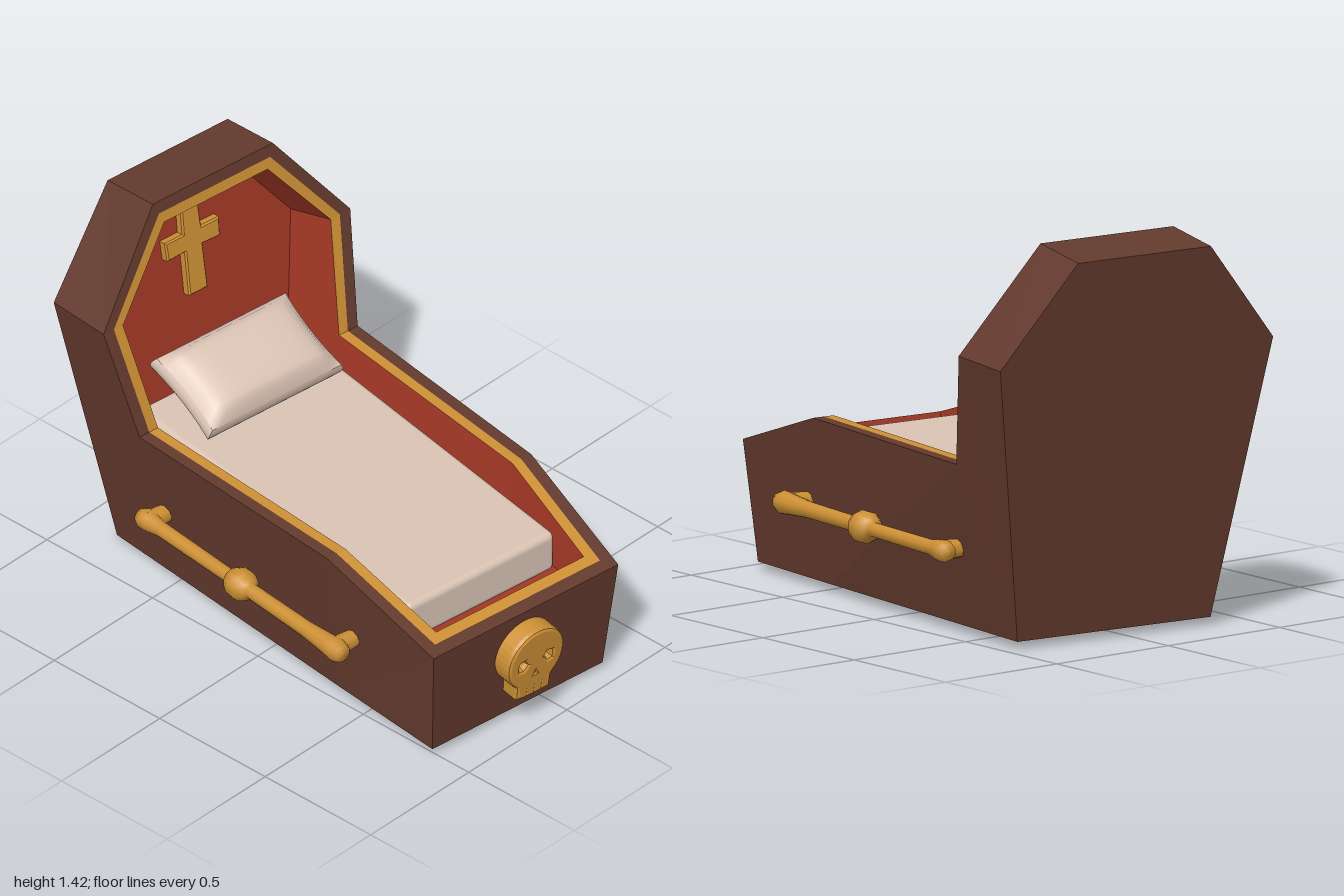
import * as THREE from 'three';
import { RoundedBoxGeometry } from 'three/addons/geometries/RoundedBoxGeometry.js';

const mat = (name, color) => Object.assign(new THREE.MeshStandardMaterial({ color }), { name });

export function createModel() {
  const wood = mat('brown wood', 0x643a2e);
  const gold = mat('gold', 0xcd9035);
  const lining = mat('red lining', 0xa23725);
  const linen = mat('cream linen', 0xdac3b4);

  const root = new THREE.Group();
  root.name = 'coffinBed';
  const bed = new THREE.Group();
  bed.name = 'bed';
  bed.rotation.y = -0.11;
  bed.position.x = -0.03;
  root.add(bed);

  const add = (name, geometry, material, parent = bed) => {
    const mesh = new THREE.Mesh(geometry, material);
    mesh.name = name;
    parent.add(mesh);
    return mesh;
  };

  // Closed ten-point loop from its right half (front corner up to the crown)
  const mirrorLoop = (half) => [...half, ...half.map(([x, y, z]) => [-x, y, z]).reverse()];
  const faceted = (polygons) => {
    const pos = [];
    for (const p of polygons)
      for (let i = 1; i < p.length - 1; i++) pos.push(...p[0], ...p[i], ...p[i + 1]);
    const g = new THREE.BufferGeometry();
    g.setAttribute('position', new THREE.Float32BufferAttribute(pos, 3));
    g.computeVertexNormals();
    return g;
  };
  const band = (a, b) => a.map((p, i) => {
    const j = (i + 1) % a.length;
    return [p, a[j], b[j], b[i]];
  });
  const FLOOR = [0, 1, 2, 7, 8, 9], BACK = [2, 3, 4, 5, 6, 7];
  const cap = (loop, ids) => ids.map((i) => loop[i]);

  // Rim points: front corner, bend, headboard foot, shoulder, crown
  const rim = [
    [0.423, 0.46, 0.935], [0.468, 0.627, 0.42], [0.5, 0.63, -0.54],
    [0.565, 1.04, -0.655], [0.275, 1.42, -0.73],
  ];
  const inward = [[-1, 0.32, -1], [-1, 0, 0], [-1, 0, 0], [-1.05, -0.05, 0], [-0.45, -1, 0.2]];
  const inset = (t) => mirrorLoop(rim.map((p, i) => p.map((v, k) => v + inward[i][k] * t)));

  const outer = inset(0), goldOuter = inset(0.045), goldInner = inset(0.085);
  const shell = mirrorLoop([
    [0.39, 0.03, 0.89], [0.395, 0.03, 0.42], [0.4, 0.03, -0.775],
    [0.565, 1.03, -0.92], [0.275, 1.39, -0.97],
  ]);
  const inside = mirrorLoop([
    [0.33, 0.36, 0.81], [0.345, 0.36, 0.42], [0.365, 0.36, -0.76],
    [0.46, 0.98, -0.85], [0.235, 1.27, -0.892],
  ]);

  add('coffinShell', faceted([
    ...band(shell, outer), ...band(outer, goldOuter),
    cap(shell, FLOOR).reverse(), cap(shell, BACK).reverse(),
  ]), wood);
  add('goldTrim', faceted(band(goldOuter, goldInner)), gold);
  add('innerLining', faceted([
    ...band(goldInner, inside), cap(inside, FLOOR), cap(inside, BACK),
  ]), lining);

  // Mattress, rising and widening towards the headboard
  const mattress = new RoundedBoxGeometry(0.7, 0.16, 1.42, 3, 0.025);
  const mp = mattress.attributes.position;
  for (let i = 0; i < mp.count; i++) {
    const z = mp.getZ(i);
    mp.setX(i, mp.getX(i) * (1 - z * 0.05));
    mp.setY(i, mp.getY(i) - z * 0.054);
  }
  add('mattress', mattress, linen).position.set(0, 0.468, -0.01);

  // Pillow, thick in the middle and thin at the seams
  const pillow = new THREE.BoxGeometry(2, 2, 2, 16, 6, 12);
  const pp = pillow.attributes.position;
  for (let i = 0; i < pp.count; i++) {
    const u = pp.getX(i), v = pp.getY(i), w = pp.getZ(i);
    const puff = Math.sqrt((1 - u ** 4) * (1 - w ** 4));
    const bulge = 1 + 0.04 * (1 - v * v);
    pp.setXYZ(i, u * 0.295 * bulge * (1 - 0.04 * (1 - w * w)), v * (0.03 + 0.065 * puff), w * 0.165 * bulge);
  }
  pillow.computeVertexNormals();
  const pillowMesh = add('pillow', pillow, linen);
  pillowMesh.position.set(0, 0.69, -0.55);
  pillowMesh.rotation.x = 0.45;

  // Headboard cross
  const polygon = (pts) => new THREE.Shape(pts.map(([x, y]) => new THREE.Vector2(x, y)));
  const crossHalf = [[0.037, -0.16], [0.035, 0.015], [0.115, 0.012], [0.118, 0.075], [0.037, 0.075], [0.034, 0.17]];
  const crossShape = polygon([...crossHalf, ...crossHalf.map(([x, y]) => [-x, y]).reverse()]);
  const cross = add('headboardCross', new THREE.ExtrudeGeometry(crossShape, {
    depth: 0.03, bevelThickness: 0.006, bevelSize: 0.006, bevelSegments: 1,
  }), gold);
  cross.position.set(0, 1.03, -0.862);
  cross.rotation.x = -0.145;

  // Skull plaque with open eyes, nose and notched teeth
  const skullShape = new THREE.Shape();
  skullShape.moveTo(-0.065, -0.135);
  for (let i = 0; i < 4; i++) {
    const x = -0.065 + i * 0.034;
    skullShape.lineTo(x + 0.026, -0.14);
    if (i < 3) {
      skullShape.lineTo(x + 0.028, -0.1);
      skullShape.lineTo(x + 0.033, -0.1);
      skullShape.lineTo(x + 0.034, -0.14);
    }
  }
  skullShape.lineTo(0.068, -0.085);
  skullShape.absarc(0, 0.01, 0.115, -0.85, Math.PI + 0.85, false);
  skullShape.lineTo(-0.068, -0.085);
  const eye = [[0.025, 0.0], [0.045, 0.035], [0.085, 0.025], [0.085, -0.025], [0.05, -0.03]];
  skullShape.holes.push(
    polygon(eye), polygon(eye.map(([x, y]) => [-x, y])),
    polygon([[-0.016, -0.06], [0.016, -0.06], [0, -0.03]]),
  );
  const skull = add('skullPlaque', new THREE.ExtrudeGeometry(skullShape, {
    depth: 0.055, bevelThickness: 0.018, bevelSize: 0.012, bevelSegments: 2, curveSegments: 14,
  }), gold);
  skull.position.set(0, 0.285, 0.92);
  skull.rotation.x = 0.105;

  // Bone handles on both sides
  const boneProfile = [
    [0, -0.54], [0.03, -0.535], [0.04, -0.51], [0.037, -0.48], [0.028, -0.43], [0.026, -0.06],
    [0.042, -0.05], [0.058, -0.02], [0.058, 0.015], [0.042, 0.045], [0.028, 0.055],
    [0.03, 0.35], [0.038, 0.46], [0.043, 0.51], [0.032, 0.54], [0, 0.545],
  ].map(([r, y]) => new THREE.Vector2(r, y));
  for (const side of [1, -1]) {
    const handle = new THREE.Group();
    handle.name = side > 0 ? 'leftBoneHandle' : 'rightBoneHandle';
    handle.position.set(side * 0.515, 0.315, 0.02);
    bed.add(handle);
    add('bone', new THREE.LatheGeometry(boneProfile, 10), gold, handle).rotation.x = Math.PI / 2;
    for (const z of [-0.49, 0.49]) {
      const mount = add('handleMount', new THREE.CylinderGeometry(0.032, 0.038, 0.1, 8), gold, handle);
      mount.rotation.z = side * Math.PI / 2;
      mount.position.set(-side * 0.045, 0, z);
    }
  }

  // Low rib carving under the base
  for (let i = 0; i < 5; i++) {
    const rib = add('underRib', new THREE.CapsuleGeometry(0.02, 0.23 - Math.abs(i - 2) * 0.035, 3, 8), wood);
    rib.rotation.z = Math.PI / 2;
    rib.position.set(0, 0.021, -0.5 + i * 0.11);
  }
  return root;
}
